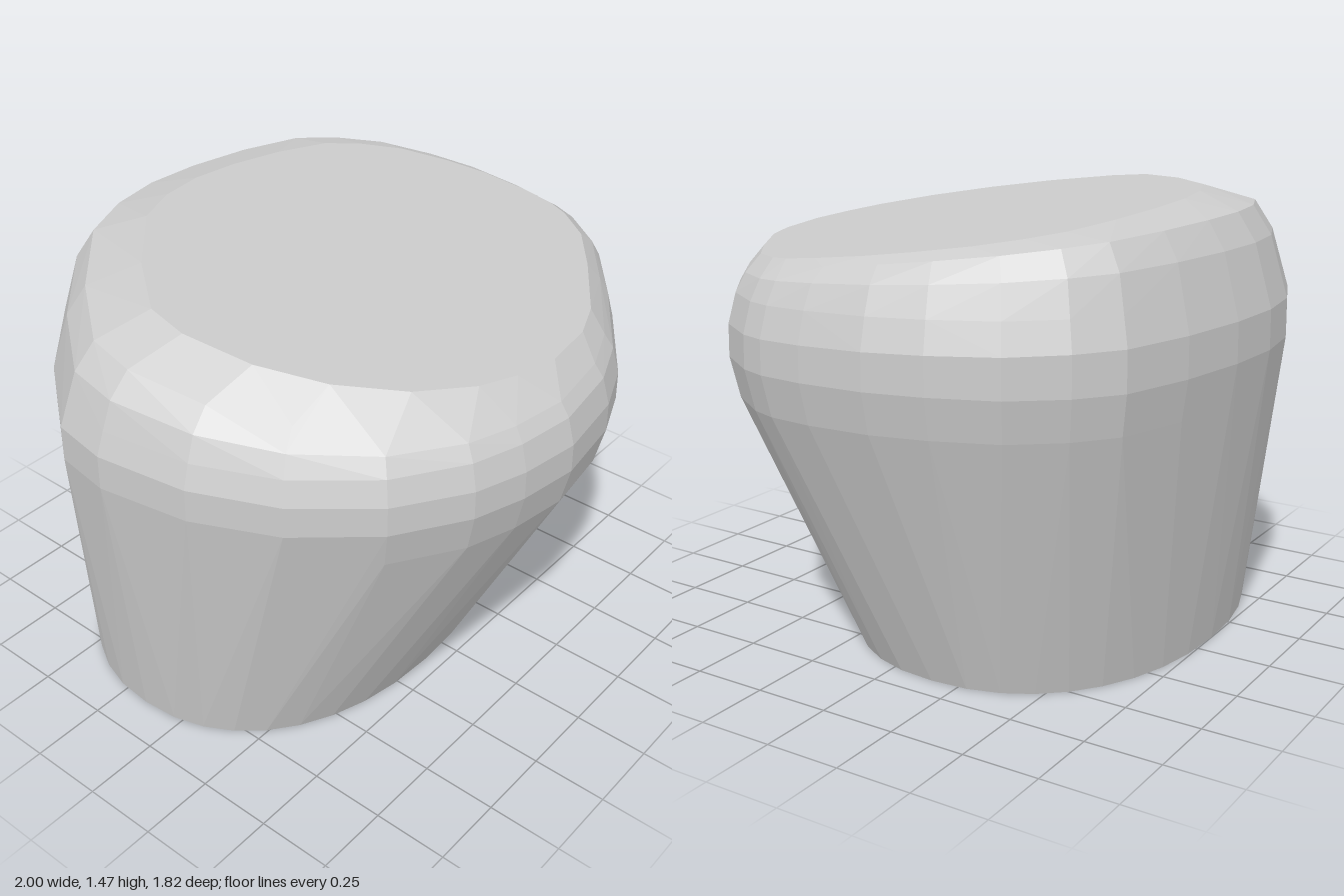
import * as THREE from 'three';
import { ConvexGeometry } from 'three/addons/geometries/ConvexGeometry.js';

// Widest outline, seen from above, as [x, z]
const OUTLINE = [
  [-0.1, -0.91], [0.12, -0.9], [0.37, -0.86], [0.61, -0.79], [0.74, -0.69], [0.86, -0.54],
  [0.94, -0.34], [0.985, -0.16], [1.0, 0.05], [0.99, 0.2], [0.96, 0.29], [0.86, 0.44],
  [0.66, 0.6], [0.37, 0.8], [0.2, 0.87], [-0.05, 0.905], [-0.25, 0.875], [-0.42, 0.82],
  [-0.64, 0.68], [-0.83, 0.46], [-0.95, 0.2], [-1.0, -0.1], [-0.97, -0.29], [-0.77, -0.55],
  [-0.5, -0.8], [-0.3, -0.88],
];

// Sloping plane of the flat top
const topHeight = (x, z) => 1.385 - 0.115 * z - 0.05 * x;

// Outline scaled and shifted, with the height given by a rule
function ring(scale, height, dx = 0, dz = 0) {
  return OUTLINE.map(([ox, oz]) => {
    const x = ox * scale + dx, z = oz * scale + dz;
    return new THREE.Vector3(x, height(x, z), z);
  });
}

// Slightly squared oval foot, set back and to one side
function footRing(count) {
  const round = (v) => Math.sign(v) * Math.pow(Math.abs(v), 0.9);
  return Array.from({ length: count }, (_, i) => {
    const a = (i / count) * Math.PI * 2;
    return new THREE.Vector3(-0.103 + 0.765 * round(Math.cos(a)), 0, -0.155 + 0.595 * round(Math.sin(a)));
  });
}

export function createModel() {
  const group = new THREE.Group();
  group.name = 'taperedBlock';

  const points = [
    ...footRing(36),
    // tapering side and widest band
    ...ring(0.97, () => 0.87, 0.003, -0.005),
    ...ring(1, () => 1.0),
    ...ring(0.998, (x, z) => 1.11 - 0.02 * z),
    // rounded shoulder
    ...ring(0.97, (x, z) => 1.195 - 0.02 * z + 0.01 * x),
    ...ring(0.935, (x, z) => 1.275 - 0.065 * z + 0.005 * x),
    ...ring(0.875, (x, z) => topHeight(x, z) - 0.055 + 0.04 * x, 0.01, 0),
    // flat sloping top
    ...ring(0.78, topHeight, 0.07, 0.06),
  ];

  const body = new THREE.Mesh(
    new ConvexGeometry(points),
    new THREE.MeshStandardMaterial({ color: 0xcccccc, flatShading: true }),
  );
  body.name = 'body';
  group.add(body);
  return group;
}
